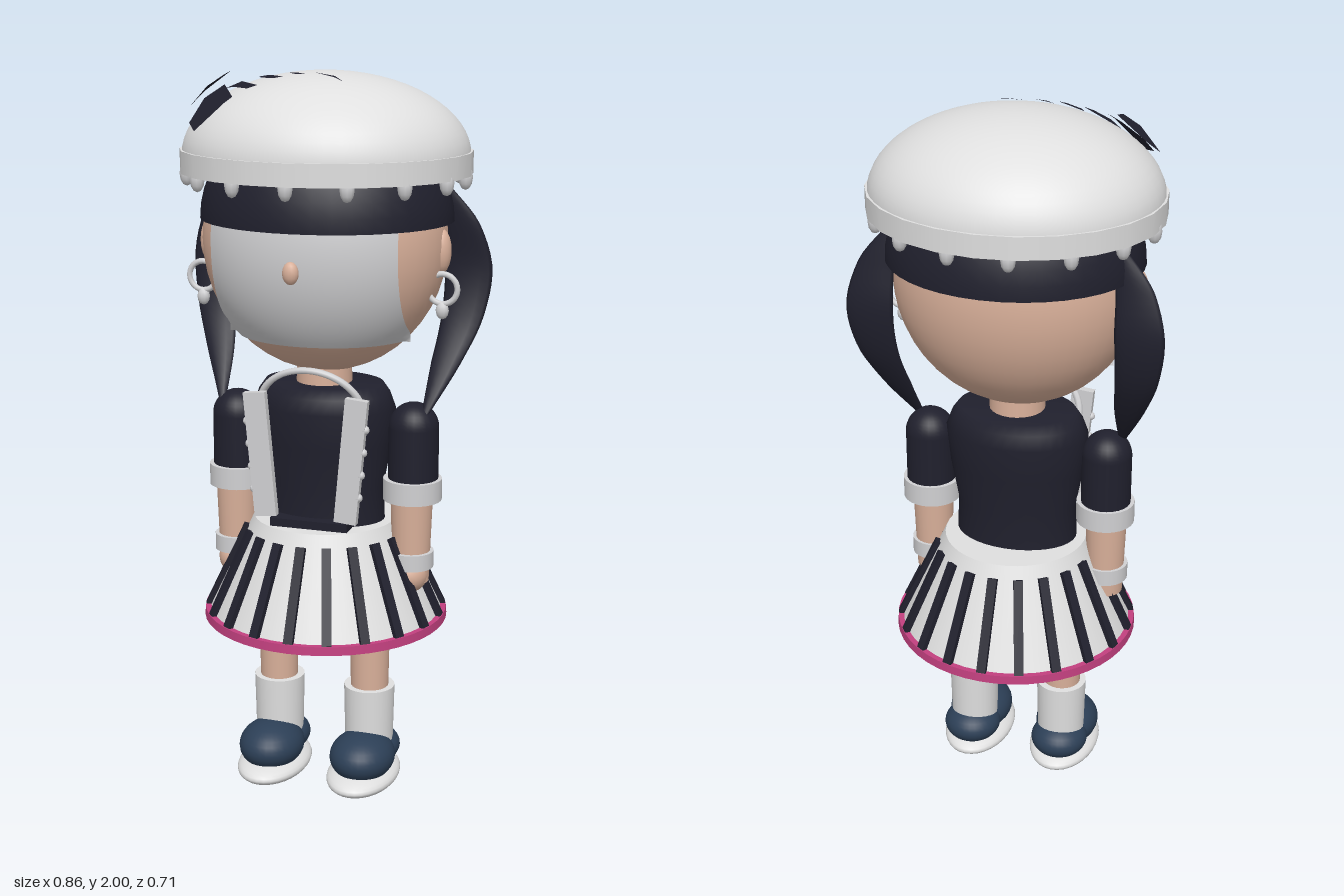
import * as THREE from 'three';

const mat = (name, color, side = THREE.FrontSide) => {
  const m = new THREE.MeshStandardMaterial({ color, side });
  m.name = name;
  return m;
};

export function createModel() {
  const model = new THREE.Group();
  const skin = mat('skin', 0xd9b09a);
  const white = mat('white', 0xdfdfdf, THREE.DoubleSide);
  const trim = mat('trimGrey', 0xd0d0d2, THREE.DoubleSide);
  const dark = mat('darkNavy', 0x20202d, THREE.DoubleSide);
  const pink = mat('pink', 0xc2407f);
  const blue = mat('shoeBlue', 0x2c3f56);

  const add = (name, geo, m, x = 0, y = 0, z = 0) => {
    const mesh = new THREE.Mesh(geo, m);
    mesh.name = name;
    mesh.position.set(x, y, z);
    model.add(mesh);
    return mesh;
  };
  const ball = (name, m, x, y, z, rx, ry = rx, rz = rx, seg = 32) =>
    add(name, new THREE.SphereGeometry(1, seg, Math.max(6, seg / 2)).scale(rx, ry, rz), m, x, y, z);
  // Upright tube between two heights
  const post = (name, m, x, z, y0, y1, r0, r1 = r0, seg = 24) =>
    add(name, new THREE.CylinderGeometry(r1, r0, y1 - y0, seg), m, x, (y0 + y1) / 2, z);

  // Head, nose and neck
  ball('head', skin, 0, 1.555, 0.01, 0.335, 0.355, 0.275, 48);
  ball('nose', skin, 0, 1.51, 0.297, 0.022, 0.03, 0.018, 16);
  post('neck', skin, 0, 0.012, 1.12, 1.26, 0.078, 0.074);

  // Pale face panel wrapped over the front of the head
  const face = new THREE.PlaneGeometry(0.51, 0.32, 28, 20);
  const fp = face.attributes.position;
  for (let i = 0; i < fp.count; i++) {
    const x = fp.getX(i), y = fp.getY(i) + 1.46;
    const d = 1 - (x / 0.338) ** 2 - ((y - 1.555) / 0.36) ** 2;
    fp.setXYZ(i, x, y, 0.01 + 0.285 * Math.sqrt(Math.max(0.03, d)));
  }
  face.computeVertexNormals();
  add('facePanel', face, trim);

  // Hair cap below the beret
  add('hairCap', new THREE.SphereGeometry(1, 40, 12, 0, Math.PI * 2, 0, Math.PI / 2)
    .scale(0.345, 0.3, 0.307), dark, 0, 1.61, -0.01);

  // Beret: dome, brim and hanging pearls
  const dome = { y: 1.78, rx: 0.388, ry: 0.22, rz: 0.35 };
  add('beretDome', new THREE.SphereGeometry(1, 48, 16, 0, Math.PI * 2, 0, Math.PI / 2)
    .scale(dome.rx, dome.ry, dome.rz), white, 0, dome.y, 0);
  add('beretBrim', new THREE.CylinderGeometry(1, 1, 0.06, 24).scale(0.394, 1, 0.357), white, 0, 1.765, 0);
  for (let i = 0; i < 15; i++) {
    const a = (i / 15) * Math.PI * 2;
    ball('beretPearl', trim, 0.375 * Math.sin(a), 1.73, 0.335 * Math.cos(a), 0.02, 0.034, 0.02, 10);
  }

  // Ribbon and slivers laid over the dome, given as x, z outlines
  const drape = (name, lift, pts) => {
    const shape = new THREE.Shape(pts.map(([x, z]) => new THREE.Vector2(x, -z)));
    const g = new THREE.ShapeGeometry(shape);
    const p = g.attributes.position;
    for (let i = 0; i < p.count; i++) {
      const x = p.getX(i), z = -p.getY(i);
      const d = 1 - (x / dome.rx) ** 2 - (z / dome.rz) ** 2;
      p.setXYZ(i, x, Math.min(1.999, dome.y + dome.ry * Math.sqrt(Math.max(0, d)) + lift), z);
    }
    g.computeVertexNormals();
    add(name, g, dark);
  };
  drape('bowLoop', 0.05, [[-0.36, 0.06], [-0.337, 0.015], [-0.25, 0.04], [-0.257, 0.08], [-0.3, 0.09]]);
  drape('bowTail', 0.025, [[-0.31, 0.085], [-0.25, 0.09], [-0.18, 0.22], [-0.2, 0.23], [-0.285, 0.225], [-0.32, 0.17]]);
  drape('ribbonSliver', 0.012, [[-0.255, 0.07], [-0.205, 0.08], [-0.13, 0.17], [-0.157, 0.175], [-0.217, 0.115]]);
  drape('ribbonSliver', 0.01, [[-0.157, 0.08], [-0.125, 0.09], [-0.074, 0.13], [-0.095, 0.135], [-0.143, 0.105]]);
  drape('ribbonSliver', 0.008, [[-0.075, 0.085], [-0.05, 0.093], [-0.015, 0.115], [-0.05, 0.108]]);
  drape('ribbonSliver', 0.006, [[-0.005, 0.085], [0.06, 0.11], [0.09, 0.14], [0.06, 0.12]]);

  // Flat, tapering loft through elliptical sections [y, x, z, rx, rz]
  const ponytail = (s) => {
    const rows = [[1.7, 0.3, -0.1, 0.015, 0.008], [1.6, 0.345, -0.115, 0.05, 0.013],
      [1.47, 0.365, -0.13, 0.066, 0.015], [1.34, 0.355, -0.105, 0.058, 0.016],
      [1.22, 0.325, -0.045, 0.04, 0.016], [1.09, 0.289, 0.04, 0.008, 0.01]];
    const mid = new THREE.CatmullRomCurve3(rows.map((r) => new THREE.Vector3(s * r[1], r[0], r[2])));
    const size = new THREE.CatmullRomCurve3(rows.map((r) => new THREE.Vector3(r[3], r[4], 0)));
    const n = 24, k = 12, pos = [], idx = [];
    for (let i = 0; i <= n; i++) {
      const c = mid.getPoint(i / n), e = size.getPoint(i / n);
      for (let j = 0; j < k; j++) {
        const a = (j / k) * Math.PI * 2;
        pos.push(c.x + e.x * Math.cos(a), c.y, c.z + e.y * Math.sin(a));
        if (i < n) {
          const p = i * k + j, q = i * k + (j + 1) % k;
          idx.push(p, q, p + k, q, q + k, p + k);
        }
      }
    }
    const g = new THREE.BufferGeometry();
    g.setAttribute('position', new THREE.Float32BufferAttribute(pos, 3));
    g.setIndex(idx.reverse());
    g.computeVertexNormals();
    // Face the windings outward
    const flip = g.attributes.normal.getZ(12 * k + 3) < 0;
    if (flip) { g.setIndex(idx.reverse()); g.computeVertexNormals(); }
    add('ponytail', g, dark);
  };

  // Bodice
  const bodice = [[0, 1.168], [0.165, 1.168], [0.185, 1.14], [0.2, 1.1], [0.19, 1.0], [0.168, 0.88], [0.172, 0.77]];
  add('bodice', new THREE.LatheGeometry(bodice.map(([r, y]) => new THREE.Vector2(r, y)), 36)
    .scale(1, 1, 0.7), dark, 0, 0, 0.01);
  add('frontWaist', new THREE.BoxGeometry(0.22, 0.03, 0.05), dark, 0, 0.79, 0.135);

  // Halter arch over the collar
  const halter = add('halter', new THREE.TorusGeometry(0.145, 0.01, 8, 32, Math.PI).scale(1, 0.85, 1), trim, 0, 1.11, 0.125);
  halter.rotation.x = 0.32;

  for (const s of [-1, 1]) {
    ponytail(s);

    // Ears and hoop earrings
    ball('ear', skin, s * 0.325, 1.54, 0.02, 0.027, 0.06, 0.03, 20);
    add('earringHoop', new THREE.TorusGeometry(0.04, 0.008, 8, 24), trim, s * 0.337, 1.445, 0.048);
    ball('earringPearl', trim, s * 0.337, 1.388, 0.048, 0.018, 0.024, 0.016, 12);

    // Suspender strap with studs on its outer edge
    const strap = add('strap', new THREE.BoxGeometry(0.062, 0.345, 0.022), trim, s * 0.128, 0.99, 0.178);
    strap.rotation.z = -s * 0.09;
    for (let i = 0; i < 4; i++) {
      ball('strapStud', trim, s * (0.166 - i * 0.006), 1.08 - i * 0.063, 0.178, 0.012, 0.012, 0.012, 10);
    }

    // Arm: puffed sleeve, cuff, forearm, bracelet and fist
    add('sleeve', new THREE.CapsuleGeometry(0.069, 0.17, 10, 24), dark, s * 0.255, 0.97, 0.013);
    post('cuff', trim, s * 0.254, 0.015, 0.852, 0.912, 0.081);
    post('forearm', skin, s * 0.255, 0.025, 0.62, 0.86, 0.05, 0.058);
    post('bracelet', trim, s * 0.255, 0.027, 0.662, 0.708, 0.063);
    ball('hand', skin, s * 0.255, 0.64, 0.035, 0.05, 0.052, 0.055, 20);

    // Leg, sock and shoe
    post('leg', skin, s * 0.136, 0.016, 0.2, 0.56, 0.052, 0.058);
    post('sock', white, s * 0.135, 0.015, 0.11, 0.288, 0.068, 0.072);
    ball('shoeHeel', blue, s * 0.136, 0.095, -0.005, 0.083, 0.055, 0.085);
    ball('shoeToe', blue, s * 0.136, 0.098, 0.085, 0.092, 0.068, 0.108);
    ball('sole', white, s * 0.134, 0.037, 0.065, 0.1, 0.037, 0.16);
  }

  // Skirt: white cone, dark pleats and pink hem
  post('skirt', white, 0, 0, 0.505, 0.782, 0.33, 0.2, 40);
  post('hem', pink, 0, 0, 0.49, 0.514, 0.343, 0.341, 48);
  const slope = Math.atan2(0.13, 0.277);
  for (let i = 0; i < 20; i++) {
    const pleat = new THREE.BoxGeometry(0.026, 0.262, 0.016).rotateX(-slope)
      .translate(0, 0.631, 0.277).rotateY((i / 20) * Math.PI * 2);
    add('pleat', pleat, dark);
  }

  // Ribbon end hanging below the skirt
  const tail = new THREE.Shape([[-0.225, 0.56], [-0.18, 0.56], [-0.18, 0.41], [-0.247, 0.41]]
    .map(([x, y]) => new THREE.Vector2(x, y)));
  add('hangingRibbon', new THREE.ExtrudeGeometry(tail, { depth: 0.015, bevelEnabled: false }), trim, 0, 0, 0.078);

  return model;
}
